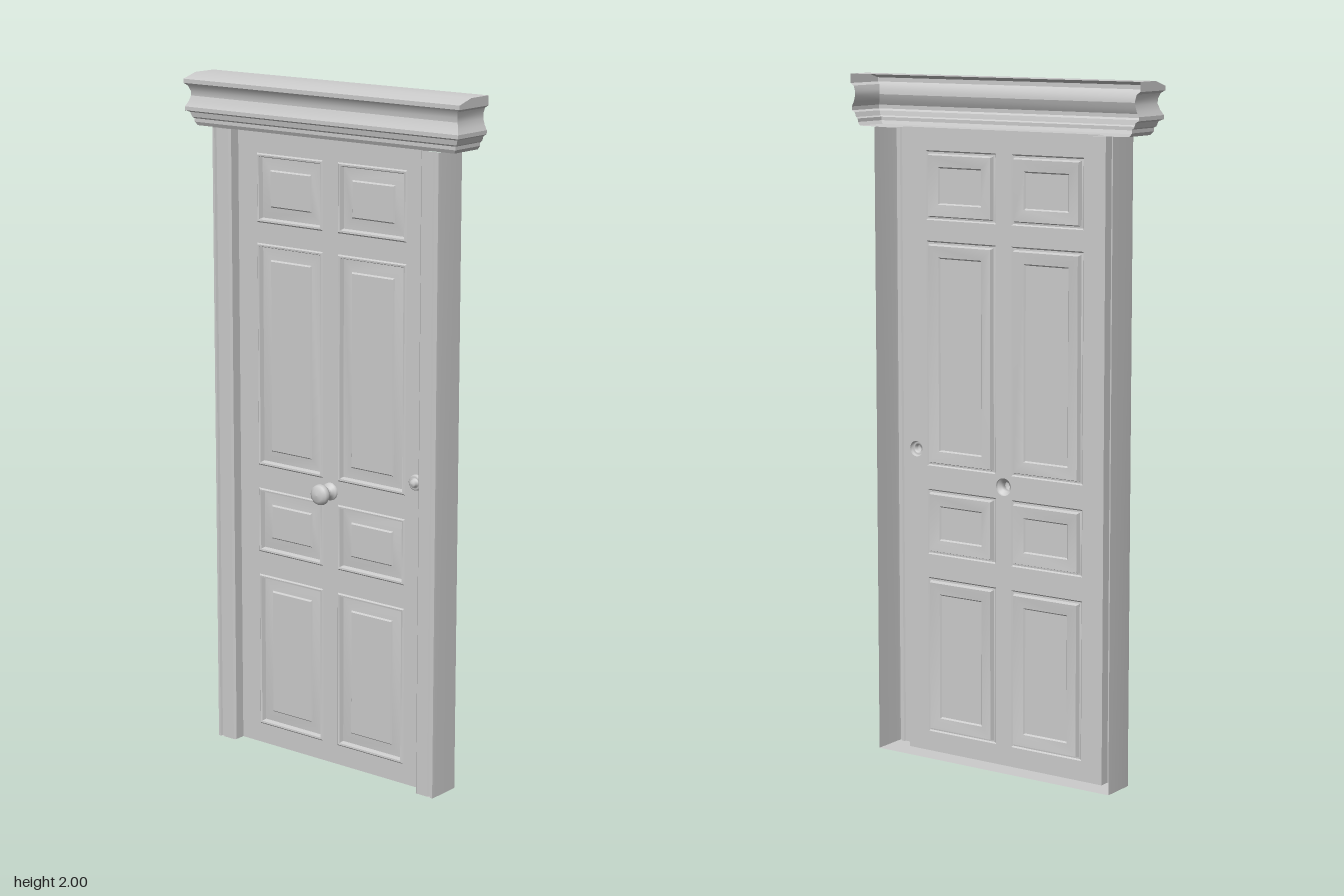
import * as THREE from 'three';
import { toCreasedNormals } from 'three/addons/utils/BufferGeometryUtils.js';

const BACK = -0.066;
const material = new THREE.MeshStandardMaterial({ color: 0xcccccc, side: THREE.DoubleSide });

function addMesh(parent, name, geometry) {
  const mesh = new THREE.Mesh(geometry, material);
  mesh.name = name;
  parent.add(mesh);
  return mesh;
}

// Joins rows of points into a sheet; every row has the same number of points.
function loft(rows) {
  const cols = rows[0].length;
  const index = [];
  for (let r = 0; r < rows.length - 1; r++) {
    for (let c = 0; c < cols - 1; c++) {
      const a = r * cols + c, b = a + cols;
      index.push(a, b, a + 1, a + 1, b, b + 1);
    }
  }
  const geometry = new THREE.BufferGeometry();
  geometry.setAttribute('position', new THREE.Float32BufferAttribute(rows.flat(2), 3));
  geometry.setIndex(index);
  return toCreasedNormals(geometry, 0.35);
}

function rectangle(x0, x1, y0, y1, z) {
  return [[x0, y0, z], [x0, y1, z], [x1, y1, z], [x1, y0, z], [x0, y0, z]];
}

function polygon(points) {
  return points.map(([x, y]) => new THREE.Vector2(x, y));
}

export function createModel() {
  const model = new THREE.Group();
  model.name = 'panelledDoor';

  // Door leaf: a thin sheet with openings for the panels and fittings
  const columns = [[-0.27, -0.027], [0.027, 0.27]];
  const levels = [[0.06, 0.53], [0.6, 0.795], [0.865, 1.525], [1.585, 1.785]];
  const fittings = [
    { name: 'doorKnob', x: 0, y: 0.83, profile: [[0.026, 0], [0.025, 0.008], [0.014, 0.012], [0.012, 0.026], [0.025, 0.034], [0.031, 0.045], [0.028, 0.056], [0.018, 0.063], [0, 0.065]] },
    { name: 'lock', x: 0.31, y: 0.91, profile: [[0.023, 0], [0.022, 0.008], [0.017, 0.011], [0.012, 0.008], [0.011, 0.018], [0.008, 0.022], [0, 0.023]] },
  ];
  const leaf = new THREE.Shape(polygon([[-0.34, 0], [0.34, 0], [0.34, 1.85], [-0.34, 1.85]]));
  for (const [x0, x1] of columns) {
    for (const [y0, y1] of levels) {
      leaf.holes.push(new THREE.Path(polygon([[x0, y0], [x0, y1], [x1, y1], [x1, y0]])));
    }
  }
  for (const { x, y, profile } of fittings) {
    leaf.holes.push(new THREE.Path().absarc(x, y, profile[0][0], 0, Math.PI * 2, true));
  }
  addMesh(model, 'doorLeaf', new THREE.ShapeGeometry(leaf, 12));

  // Panels: moulded edge, sunk bevel and raised field, as [inset, depth]
  const panelSteps = [[0, 0], [0.004, 0.004], [0.009, 0.003], [0.013, -0.01], [0.046, -0.006], [0.05, -0.001]];
  const panels = new THREE.Group();
  panels.name = 'panels';
  model.add(panels);
  for (const [x0, x1] of columns) {
    for (const [y0, y1] of levels) {
      const rows = panelSteps.map(([d, z]) => rectangle(x0 + d, x1 - d, y0 + d, y1 - d, z));
      addMesh(panels, 'panelMoulding', loft(rows));
      const field = new THREE.PlaneGeometry(x1 - x0 - 0.1, y1 - y0 - 0.1);
      field.translate((x0 + x1) / 2, (y0 + y1) / 2, -0.001);
      addMesh(panels, 'panelField', field);
    }
  }

  // Knob and lock
  for (const { name, x, y, profile } of fittings) {
    const geometry = new THREE.LatheGeometry(polygon(profile), 24);
    geometry.rotateX(Math.PI / 2);
    addMesh(model, name, geometry).position.set(x, y, 0);
  }

  // Jambs: hollow mouldings, open at the back
  const jamb = [[0.34, 0], [0.34, 0.031], [0.346, 0.037], [0.383, 0.037], [0.387, 0.032], [0.394, 0.032],
    [0.397, 0.039], [0.404, 0.039], [0.405, 0.03], [0.405, BACK]];
  for (const [side, name] of [[1, 'leftJamb'], [-1, 'rightJamb']]) {
    const path = side > 0 ? jamb : [...jamb].reverse();
    addMesh(model, name, loft([1.85, 0].map((y) => path.map(([x, z]) => [side * x, y, z]))));
  }

  // Threshold with the feet of the jambs
  const base = new THREE.Shape(polygon([[-0.405, BACK], [0.405, BACK], [0.405, 0.037], [0.34, 0.037],
    [0.34, 0], [-0.34, 0], [-0.34, 0.037], [-0.405, 0.037]]));
  addMesh(model, 'threshold', new THREE.ShapeGeometry(base).rotateX(Math.PI / 2));

  // Cornice: rows of [half width, front z, height], returned along both ends
  const cornice = [
    [0.49, BACK, 2], [0.49, 0.012, 2], [0.49, 0.064, 1.985], [0.49, 0.064, 1.973], [0.479, 0.058, 1.966],
    [0.474, 0.051, 1.95], [0.474, 0.05, 1.937], [0.479, 0.056, 1.92], [0.486, 0.064, 1.906],
    [0.486, 0.064, 1.895], [0.476, 0.053, 1.89], [0.471, 0.05, 1.876], [0.465, 0.046, 1.872],
    [0.465, 0.046, 1.862], [0.457, 0.041, 1.852], [0.34, 0, 1.85],
  ];
  addMesh(model, 'cornice', loft(cornice.map(([x, z, y]) => [[-x, y, BACK], [-x, y, z], [x, y, z], [x, y, BACK]])));

  return model;
}
